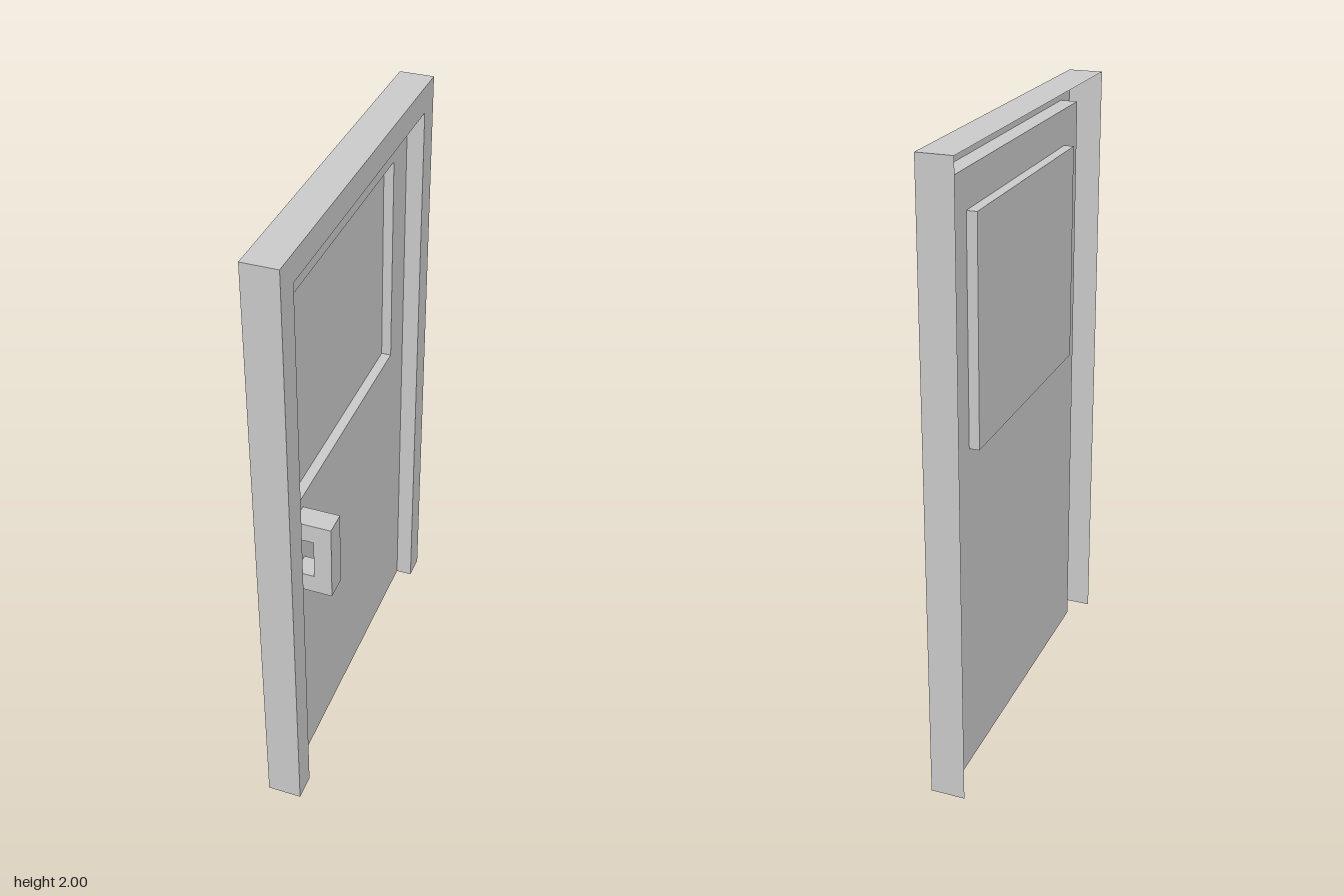
import * as THREE from 'three';

const material = new THREE.MeshStandardMaterial({ color: 0xcccccc, side: THREE.DoubleSide });

// Depth planes along x, from the back edge of the frame to the handle grip
const X = { back: -0.087, pane: -0.064, panel: -0.032, front: 0.023, grip: 0.086 };

// Outlines in the plane of the door: [u, y] with u = -z
const rect = (w, y0, y1) => [[-w, y0], [-w, y1], [w, y1], [w, y0]];
const OUTER = rect(0.61, 0, 2);
const OPENING = rect(0.527, 0, 1.916);
const WINDOW = rect(0.405, 1.09, 1.8);

const toPoints = (list) => list.map(([u, y]) => new THREE.Vector2(u, y));

function addMesh(group, name, geometry) {
  const mesh = new THREE.Mesh(geometry, material);
  mesh.name = name;
  group.add(mesh);
}

// Flat sheet facing +x at the given depth
function sheet(outline, x, hole) {
  const shape = new THREE.Shape(toPoints(outline));
  if (hole) shape.holes.push(new THREE.Path(toPoints(hole)));
  return new THREE.ShapeGeometry(shape).rotateY(Math.PI / 2).translate(x, 0, 0);
}

// Walls along an outline between two depths; inward flips the facing
function walls(outline, x0, x1, closed, inward) {
  const pos = [];
  const count = closed ? outline.length : outline.length - 1;
  for (let i = 0; i < count; i++) {
    const [ua, ya] = outline[i];
    const [ub, yb] = outline[(i + 1) % outline.length];
    const a = [x0, ya, -ua], b = [x0, yb, -ub], c = [x1, yb, -ub], d = [x1, ya, -ua];
    const quad = inward ? [a, b, c, a, c, d] : [a, c, b, a, d, c];
    pos.push(...quad.flat());
  }
  const geometry = new THREE.BufferGeometry();
  geometry.setAttribute('position', new THREE.Float32BufferAttribute(pos, 3));
  geometry.computeVertexNormals();
  return geometry;
}

export function createModel() {
  const model = new THREE.Group();
  model.name = 'door';

  // Frame: a thin shell, open at the back and the bottom
  const frame = new THREE.Group();
  frame.name = 'frame';
  const face = [...OUTER.slice(0, 4), ...OPENING.slice().reverse()];
  addMesh(frame, 'frameFace', sheet(face, X.front));
  addMesh(frame, 'frameOuterWalls', walls(OUTER, X.back, X.front, false, false));
  addMesh(frame, 'frameReveal', walls(OPENING, X.panel, X.front, false, true));
  model.add(frame);

  // Door leaf with a recessed window
  const leaf = new THREE.Group();
  leaf.name = 'doorLeaf';
  addMesh(leaf, 'doorPanel', sheet(OPENING, X.panel, WINDOW));
  addMesh(leaf, 'windowReveal', walls(WINDOW, X.pane, X.panel, true, true));
  addMesh(leaf, 'windowPane', sheet(WINDOW, X.pane));
  model.add(leaf);

  // C-shaped pull handle, profile in x and y
  const [x0, xi, x1] = [X.panel + 0.001, 0.03, X.grip];
  const [y0, y1, arm] = [0.793, 1.053, 0.063];
  const profile = new THREE.Shape(toPoints([
    [x0, y0], [x1, y0], [x1, y1], [x0, y1],
    [x0, y1 - arm], [xi, y1 - arm], [xi, y0 + arm], [x0, y0 + arm],
  ]));
  const handle = new THREE.ExtrudeGeometry(profile, { depth: 0.074, bevelEnabled: false });
  addMesh(model, 'handle', handle.translate(0, 0, 0.384));

  return model;
}
